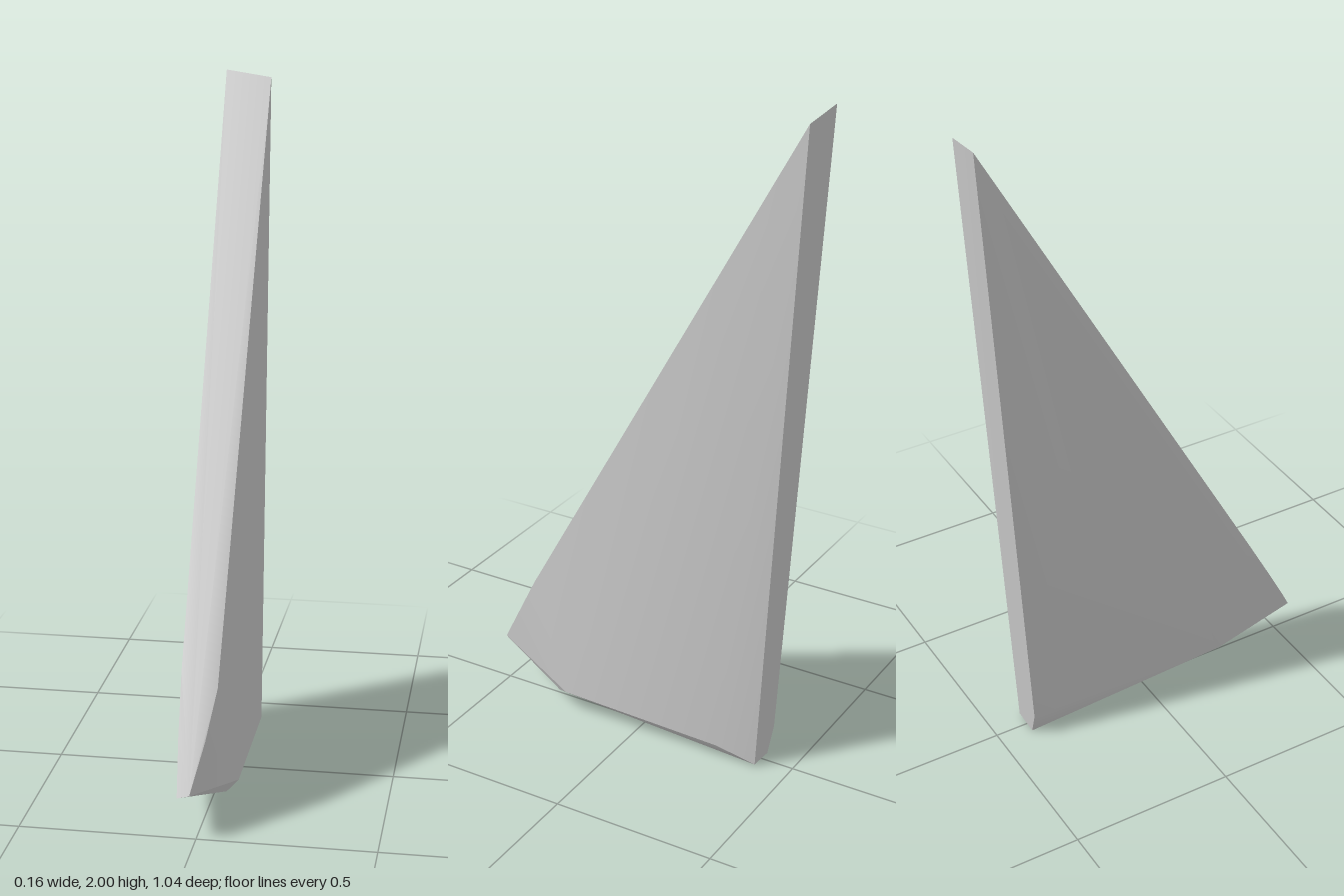
import * as THREE from 'three';
import { ConvexGeometry } from 'three/addons/geometries/ConvexGeometry.js';
import { toCreasedNormals } from 'three/addons/utils/BufferGeometryUtils.js';

export function createModel() {
  const model = new THREE.Group();
  const paleStone = new THREE.MeshStandardMaterial({ color: 0xc7c7c7 });

  // Corners of the wedge-shaped shard, grouped by edge
  const corners = [
    // top edge
    [-0.08, 2.0, -0.52], [0.055, 1.98, -0.511],
    // sloping front face, narrowing to the toe
    [-0.065, 0.43, 0.352], [-0.059, 0.272, 0.439],
    [0.04, 0.395, 0.373], [0.017, 0.265, 0.445],
    [-0.05, 0.125, 0.517], [-0.015, 0.135, 0.52],
    // bulge of the left flank
    [0.061, 1.65, -0.4], [0.078, 0.067, 0.24], [0.068, 0.045, -0.28],
    // right flank, down to its rounded foot
    [-0.075, 1.0, -0.3], [-0.066, 0.07, 0.25], [-0.064, 0.08, -0.403],
    // underside
    [-0.035, 0.0, -0.398], [0.046, 0.006, -0.398],
    [-0.03, 0.045, 0.285], [0.05, 0.047, 0.28],
  ].map(([x, y, z]) => new THREE.Vector3(x, y, z));

  // Gentle facets blend, hard edges stay sharp
  const geometry = toCreasedNormals(new ConvexGeometry(corners), THREE.MathUtils.degToRad(22));
  const shard = new THREE.Mesh(geometry, paleStone);
  shard.name = 'shard';
  model.add(shard);
  return model;
}
